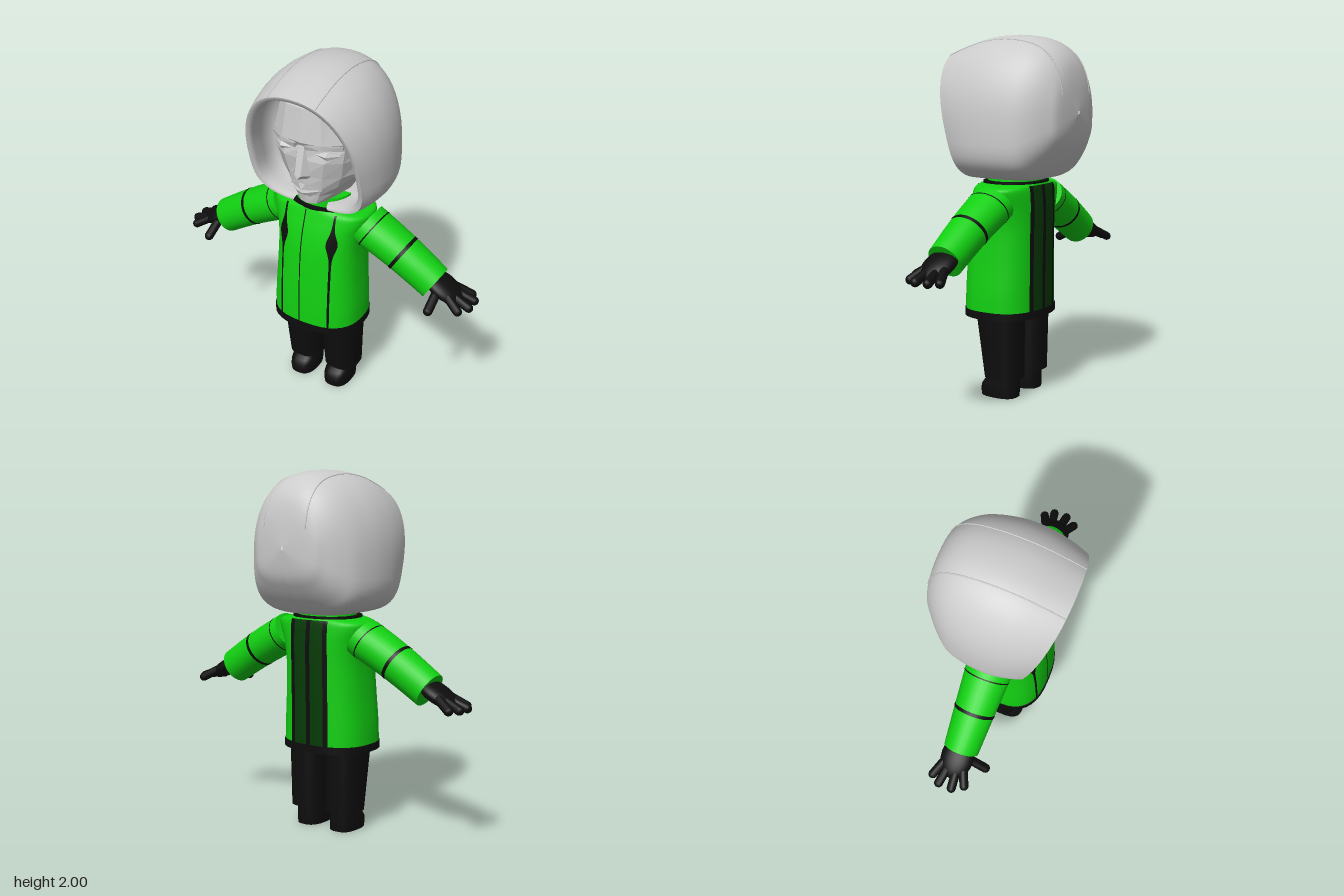
import * as THREE from 'three';
import { ConvexGeometry } from 'three/addons/geometries/ConvexGeometry.js';

const GREY = 0xcccccc, GREEN = 0x12d012, BLACK = 0x0d0d0d, DARK_GREEN = 0x063a06;
const V = (x, y, z) => new THREE.Vector3(x, y, z);
const lerp = THREE.MathUtils.lerp;

function mesh(name, geometry, color, options = {}) {
  const m = new THREE.Mesh(geometry, new THREE.MeshStandardMaterial({ color, ...options }));
  m.name = name;
  return m;
}

// Skin a list of rings (arrays of points), optionally closed around and capped
function loft(rings, { closed = true, caps = false } = {}) {
  const n = rings[0].length, pts = rings.flat(), index = [];
  const steps = closed ? n : n - 1;
  for (let i = 0; i < rings.length - 1; i++) {
    for (let j = 0; j < steps; j++) {
      const a = i * n + j, b = i * n + (j + 1) % n;
      index.push(a, a + n, b, b, a + n, b + n);
    }
  }
  if (caps) [rings[0], rings[rings.length - 1]].forEach((ring, end) => {
    const base = pts.length;
    const centre = ring.reduce((s, p) => s.add(p), V(0, 0, 0)).divideScalar(n);
    pts.push(...ring, centre);
    for (let j = 0; j < n; j++) {
      const p = base + j, q = base + (j + 1) % n;
      index.push(base + n, end ? q : p, end ? p : q);
    }
  });
  const g = new THREE.BufferGeometry().setFromPoints(pts);
  g.setIndex(index);
  g.computeVertexNormals();
  return g;
}

// Resample rows of numbers smoothly
function smoothRows(rows, count) {
  const curves = rows[0].map((_, k) => new THREE.SplineCurve(rows.map((r, i) => new THREE.Vector2(i, r[k]))));
  return Array.from({ length: count + 1 }, (_, i) => curves.map(c => c.getPoint(i / count).y));
}

// Horizontal rounded-square ring
const power = (v, e) => Math.sign(v) * Math.abs(v) ** e;
function ringXZ(y, xc, zc, rx, rz, n = 2.6, sides = 36) {
  return Array.from({ length: sides }, (_, j) => {
    const a = j / sides * Math.PI * 2;
    return V(xc + rx * power(Math.cos(a), 2 / n), y, zc + rz * power(Math.sin(a), 2 / n));
  });
}

// Hood ring: egg outline between a top and a bottom point
function hoodPoint([zt, yt, zb, yb, w], a) {
  const s = Math.sin(a), n = s > 0 ? 2.25 : 3.4;
  const v = power(s, 2 / n), t = v > 0 ? 0.36 + 0.64 * v : 0.36 + 0.36 * v;
  return V(-w * power(Math.cos(a), 2 / n), lerp(yb, yt, t), lerp(zb, zt, t));
}
const hoodRing = row => Array.from({ length: 57 }, (_, j) =>
  hoodPoint(row, lerp(-Math.PI / 2 + row[5], Math.PI * 1.5 - row[5], j / 56)));

function hood() {
  const g = new THREE.Group();
  g.name = 'hood';
  // Top z, y; bottom z, y; half width; opening under the chin
  const outer = smoothRows([
    [-0.372, 1.60, -0.372, 1.58, 0.005, 0], [-0.355, 1.76, -0.35, 1.45, 0.17, 0],
    [-0.32, 1.87, -0.31, 1.37, 0.235, 0], [-0.25, 1.945, -0.25, 1.29, 0.30, 0],
    [-0.15, 1.985, -0.18, 1.23, 0.35, 0], [0, 2, -0.06, 1.22, 0.38, 0],
    [0.15, 1.985, 0.05, 1.22, 0.382, 0.03], [0.28, 1.95, 0.13, 1.22, 0.365, 0.1],
    [0.375, 1.918, 0.19, 1.22, 0.34, 0.14]], 40);
  const inner = [
    [0.375, 1.918, 0.19, 1.22, 0.34, 0.14], [0.372, 1.9, 0.19, 1.235, 0.318, 0.14],
    [0.35, 1.893, 0.175, 1.245, 0.308, 0.14], [0.25, 1.9, 0.12, 1.25, 0.31, 0.1],
    [0.08, 1.92, 0.04, 1.25, 0.31, 0], [0, 1.6, 0, 1.59, 0.01, 0]];
  g.add(mesh('hoodShell', loft(outer.map(hoodRing), { closed: false }), GREY));
  g.add(mesh('hoodLining', loft(inner.map(hoodRing), { closed: false }), GREY));
  // Raised seams running over the top and down the back
  for (const s of [-1, 1]) {
    const path = outer.filter(r => r[4] > 0.15).map(r => {
      const a = Math.acos((0.14 / r[4]) ** 1.125);
      return hoodPoint(r, s > 0 ? Math.PI - a : a);
    });
    g.add(mesh('hoodSeam', new THREE.TubeGeometry(new THREE.CatmullRomCurve3(path), 60, 0.004, 6), GREY));
  }
  return g;
}

function face() {
  const g = new THREE.Group();
  g.name = 'face';
  const facet = (name, geometry) => {
    const flat = geometry.index ? geometry.toNonIndexed() : geometry;
    flat.computeVertexNormals();
    g.add(mesh(name, flat, GREY, { flatShading: true }));
  };
  // y, centre z, then x and z of three points out to the edge
  const rows = [
    [1.90, 0.22, 0.08, 0.21, 0.13, 0.17, 0.17, 0.05], [1.82, 0.26, 0.10, 0.25, 0.17, 0.19, 0.21, 0.05],
    [1.64, 0.285, 0.12, 0.27, 0.21, 0.20, 0.25, 0.05], [1.60, 0.26, 0.12, 0.235, 0.21, 0.19, 0.255, 0.05],
    [1.53, 0.262, 0.12, 0.25, 0.20, 0.19, 0.26, 0.04], [1.43, 0.255, 0.10, 0.235, 0.18, 0.17, 0.25, 0.03],
    [1.36, 0.25, 0.09, 0.225, 0.15, 0.16, 0.20, 0.02], [1.31, 0.235, 0.07, 0.215, 0.12, 0.15, 0.17, 0.02],
    [1.255, 0.228, 0.05, 0.21, 0.085, 0.15, 0.10, 0.03], [1.24, 0.14, 0.03, 0.13, 0.05, 0.10, 0.08, 0.02]];
  facet('mask', loft(rows.map(([y, z, a, za, b, zb, c, zc]) => [
    V(-c, y, zc), V(-b, y, zb), V(-a, y, za), V(0, y, z), V(a, y, za), V(b, y, zb), V(c, y, zc)]), { closed: false }));
  const both = pts => pts.flatMap(([x, y, z]) => x ? [V(x, y, z), V(-x, y, z)] : [V(x, y, z)]);
  facet('nose', new ConvexGeometry(both([[0.02, 1.62, 0.272], [0.018, 1.46, 0.312], [0.05, 1.45, 0.265],
    [0.035, 1.43, 0.262], [0, 1.44, 0.315], [0, 1.5, 0.22]])));
  facet('upperLip', new ConvexGeometry(both([[0.02, 1.395, 0.272], [0.1, 1.355, 0.222], [0, 1.36, 0.28], [0, 1.37, 0.21]])));
  facet('lowerLip', new ConvexGeometry(both([[0.04, 1.348, 0.266], [0.09, 1.35, 0.222], [0.04, 1.318, 0.25],
    [0, 1.335, 0.27], [0, 1.34, 0.2]])));
  for (const s of [-1, 1]) {
    const side = pts => pts.map(([x, y, z]) => V(s * x, y, z));
    facet('brow', new ConvexGeometry(side([[0.03, 1.635, 0.296], [0.03, 1.605, 0.285], [0.12, 1.648, 0.282],
      [0.12, 1.62, 0.28], [0.21, 1.635, 0.21], [0.21, 1.612, 0.205], [0.03, 1.62, 0.24], [0.2, 1.62, 0.16]])));
    facet('eyelid', new ConvexGeometry(side([[0.07, 1.578, 0.252], [0.14, 1.602, 0.244], [0.205, 1.578, 0.198],
      [0.14, 1.555, 0.248], [0.135, 1.578, 0.262], [0.14, 1.58, 0.2]])));
  }
  return g;
}

// Coat levels: y, half width, front z, back z
const coatRows = smoothRows([[0.46, 0.262, 0.28, -0.15], [0.60, 0.26, 0.278, -0.15], [0.78, 0.248, 0.27, -0.152],
  [0.95, 0.243, 0.255, -0.155], [1.06, 0.258, 0.233, -0.155], [1.14, 0.285, 0.208, -0.15],
  [1.18, 0.28, 0.195, -0.145], [1.2, 0.21, 0.188, -0.14]], 42);
const coatRing = ([y, w, f, b], grow = 0) => ringXZ(y, 0, (f + b) / 2, w + grow, (f - b) / 2 + grow);

// Strip lying on the front (+1) or back (-1) of the coat
function coatStrip(name, x, halfWidth, face, color, lift = 0.003) {
  const rings = coatRows.filter(r => r[0] > 0.49 && r[0] < 1.195).map(([y, w, f, b]) =>
    Array.from({ length: 7 }, (_, i) => {
      const px = x + halfWidth(y) * (i / 3 - 1);
      const d = (f - b) / 2 * (1 - Math.abs(px / w) ** 2.6) ** (1 / 2.6);
      return V(px, y, (f + b) / 2 + face * (d + lift));
    }));
  return mesh(name, loft(rings, { closed: false }), color, { side: THREE.DoubleSide });
}

function coat() {
  const g = new THREE.Group();
  g.name = 'coat';
  g.add(mesh('coatBody', loft(coatRows.map(r => coatRing(r)), { caps: true }), GREEN));
  g.add(mesh('hem', loft([0.458, 0.5].map(y => coatRing([y, 0.262, 0.28, -0.15], 0.004)), { caps: true }), BLACK));
  g.add(mesh('collar', loft([1.17, 1.27].map(y => ringXZ(y, 0, 0.025, 0.165, 0.145, 2.2)), { caps: true }), GREEN));
  g.add(mesh('collarTrim', loft([1.19, 1.212].map(y => ringXZ(y, 0, 0.025, 0.195, 0.165, 2.3)), { caps: true }), BLACK));
  g.add(coatStrip('frontClosure', -0.025, () => 0.003, 1, BLACK));
  g.add(coatStrip('backPanel', 0, () => 0.12, -1, DARK_GREEN));
  for (const x of [-0.11, 0, 0.11]) g.add(coatStrip('backStripe', x, () => 0.014, -1, BLACK, 0.006));
  for (const s of [-1, 1]) {
    // Stripe broadens at chest height
    g.add(coatStrip('frontStripe', s * 0.15, y => 0.006 + 0.024 * Math.exp(-(((y - 1.03) / 0.06) ** 2)), 1, BLACK));
  }
  return g;
}

// Part of a sleeve between two fractions of its length
function sleeve(name, s, t0, t1, grow, color, caps) {
  const rings = Array.from({ length: 13 }, (_, i) => {
    const t = lerp(t0, t1, i / 12), bow = 0.01 * Math.sin(Math.PI * t);
    const r = lerp(0.112, 0.1, t) + grow, rz = lerp(0.13, 0.098, t) + grow;
    return Array.from({ length: 28 }, (_, j) => {
      const a = j / 28 * Math.PI * 2, c = r * Math.cos(a);
      return V(s * (lerp(0.25, 0.675, t) + 0.52 * c), lerp(1.098, 0.855, t) + bow + 0.854 * c,
        0.015 - s * rz * Math.sin(a));
    });
  });
  return mesh(name, loft(rings, { caps }), color);
}

function rod(name, a, b, radius) {
  const m = mesh(name, new THREE.CapsuleGeometry(radius, a.distanceTo(b), 6, 12), BLACK);
  m.position.copy(a).lerp(b, 0.5);
  m.quaternion.setFromUnitVectors(V(0, 1, 0), b.clone().sub(a).normalize());
  return m;
}

function arm(s) {
  const g = new THREE.Group();
  g.name = s > 0 ? 'leftArm' : 'rightArm';
  g.add(sleeve('sleeve', s, 0, 1, 0, GREEN, true));
  g.add(sleeve('armholeSeam', s, 0.1, 0.115, 0.002, BLACK, false));
  g.add(sleeve('sleeveBand', s, 0.51, 0.55, 0.002, BLACK, false));
  // Gloved hand
  const palm = mesh('palm', new THREE.SphereGeometry(1, 24, 16), BLACK);
  palm.scale.set(0.13, 0.046, 0.092);
  palm.position.set(s * 0.725, 0.847, 0.012);
  palm.rotation.z = -s * 0.5;
  g.add(palm);
  for (const [x, z0, z1] of [[0.85, -0.05, -0.085], [0.885, -0.015, -0.036], [0.887, 0.03, 0.04], [0.85, 0.065, 0.1]]) {
    g.add(rod('finger', V(s * 0.77, 0.828, z0), V(s * x, 0.782, z1), 0.025));
  }
  g.add(rod('thumb', V(s * 0.71, 0.835, 0.07), V(s * 0.712, 0.778, 0.17), 0.026));
  return g;
}

function leg(s) {
  const g = new THREE.Group();
  g.name = s > 0 ? 'leftLeg' : 'rightLeg';
  const build = (name, rows) => g.add(mesh(name,
    loft(rows.map(([y, x, z, rx, rz]) => ringXZ(y, s * x, z, rx, rz, 2.7)), { caps: true }), BLACK));
  build('trouserLeg', [[0.11, 0.119, 0.025, 0.097, 0.105], [0.3, 0.122, 0.037, 0.101, 0.12], [0.52, 0.126, 0.05, 0.106, 0.137]]);
  build('boot', [[0, 0.115, 0.055, 0.074, 0.108], [0.03, 0.115, 0.056, 0.077, 0.111], [0.06, 0.115, 0.054, 0.077, 0.109],
    [0.085, 0.115, 0.045, 0.075, 0.1], [0.1, 0.115, 0.032, 0.073, 0.087], [0.13, 0.115, 0.025, 0.072, 0.08]]);
  return g;
}

export function createModel() {
  const model = new THREE.Group();
  model.name = 'hoodedFigure';
  model.add(hood(), face(), coat());
  for (const s of [-1, 1]) model.add(arm(s), leg(s));
  return model;
}
